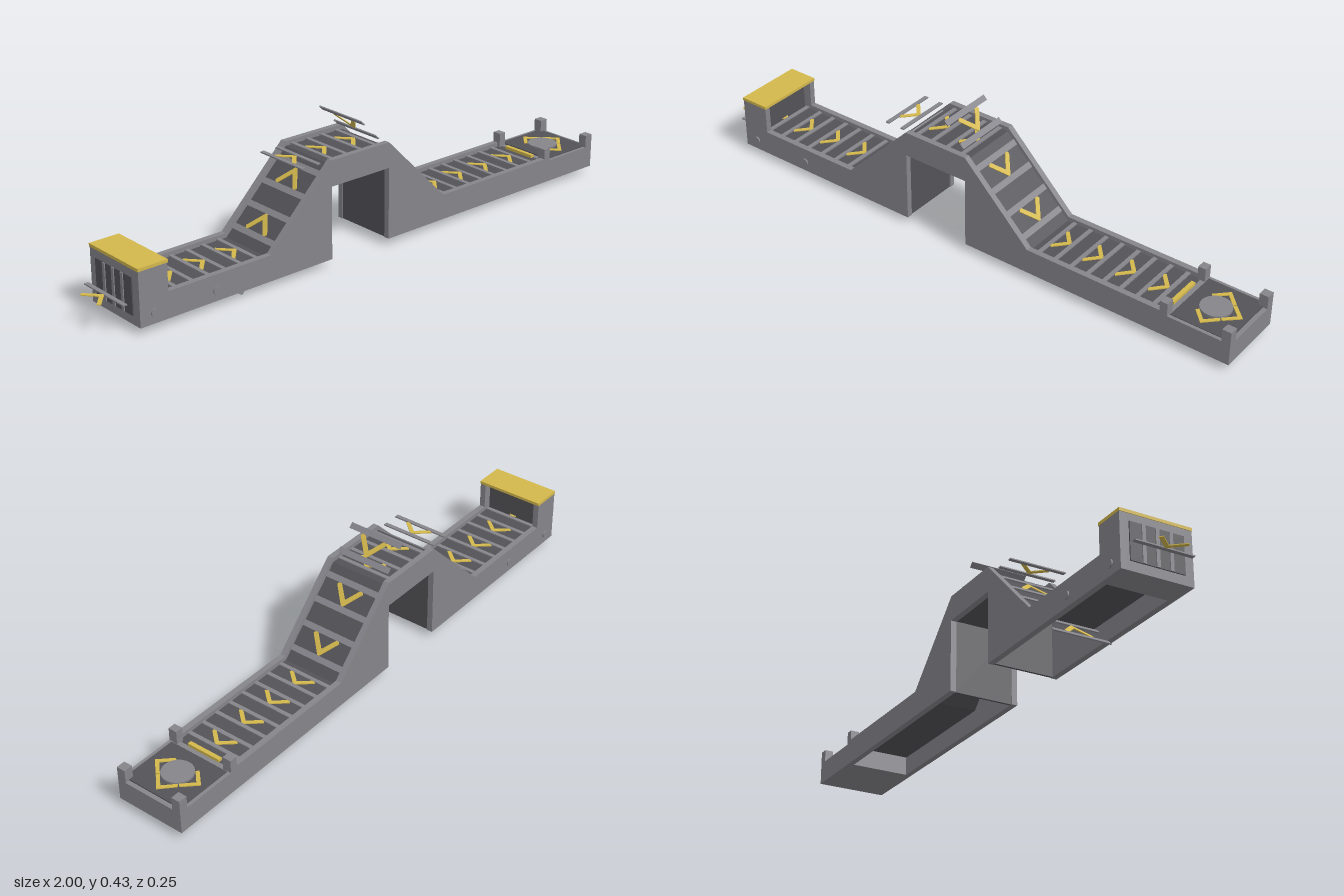
import * as THREE from 'three';

const mat = (name, color) => {
  const m = new THREE.MeshStandardMaterial({ color });
  m.name = name;
  return m;
};

export function createModel() {
  const model = new THREE.Group();
  model.name = 'conveyor';
  const metal = mat('grey metal', 0x85848a);
  const dark = mat('dark rubber', 0x535257);
  const yellow = mat('warning yellow', 0xd2b74c);

  const add = (name, geo, material, x = 0, y = 0, z = 0, parent = model) => {
    const m = new THREE.Mesh(geo, material);
    m.name = name;
    m.position.set(x, y, z);
    parent.add(m);
    return m;
  };
  // box given by its limits on each axis
  const box = (name, material, [x0, x1], [y0, y1], [z0, z1]) =>
    add(name, new THREE.BoxGeometry(x1 - x0, y1 - y0, z1 - z0), material,
      (x0 + x1) / 2, (y0 + y1) / 2, (z0 + z1) / 2);
  const extrude = (pts, depth) => new THREE.ExtrudeGeometry(
    new THREE.Shape(pts.map(p => new THREE.Vector2(...p))), { depth, bevelEnabled: false });

  // side walls, following the hump and the underpass
  const wall = extrude([
    [-0.91, 0.025], [-0.195, 0.025], [-0.195, 0.265], [0.04, 0.265], [0.04, 0.025],
    [1, 0.025], [1, 0.1], [0.785, 0.1], [0.76, 0.11], [0.28, 0.11], [0.04, 0.35],
    [-0.195, 0.35], [-0.435, 0.11], [-0.81, 0.11], [-0.81, 0.2], [-0.91, 0.2]], 0.02);
  add('sideWall', wall, metal, 0, 0, 0.1);
  add('sideWall', wall, metal, 0, 0, -0.12);

  // belt bed: a thin sheet between the walls
  const top = [[-0.84, 0.095], [-0.433, 0.095], [-0.193, 0.335], [0.038, 0.335],
    [0.278, 0.095], [0.77, 0.095]];
  const under = top.map(([x, y]) => [x, y - 0.006]).reverse();
  add('beltBed', extrude([...top, ...under], 0.2), dark, 0, 0, -0.1);

  // underpass lining
  const inner = [-0.1, 0.1];
  box('underpassCeiling', dark, [-0.2, 0.045], [0.268, 0.275], inner);
  box('underpassWall', dark, [-0.206, -0.198], [0.025, 0.27], inner);
  box('underpassWall', dark, [0.043, 0.051], [0.025, 0.27], inner);

  // intake tower with cap, dark mouth and slatted rear curtain
  box('towerBase', metal, [-0.91, -0.81], [0.025, 0.088], inner);
  box('towerBack', metal, [-0.91, -0.9], [0.088, 0.2], inner);
  box('towerMouth', dark, [-0.85, -0.84], [0.088, 0.2], inner);
  box('towerCap', yellow, [-0.912, -0.808], [0.2, 0.21], [-0.121, 0.121]);
  box('curtain', dark, [-0.914, -0.91], [0.055, 0.175], [-0.09, 0.09]);
  for (const z of [-0.045, 0, 0.045])
    box('curtainSlat', metal, [-0.917, -0.913], [0.055, 0.175], [z - 0.006, z + 0.006]);

  // bolts on both sides
  for (const x of [-0.86, -0.64])
    for (const s of [-1, 1])
      add('bolt', new THREE.CylinderGeometry(0.013, 0.013, 0.006, 12), metal, x, 0.06, s * 0.122)
        .rotation.x = Math.PI / 2;

  // treads: an arrow between two rungs
  const arrow = extrude([[0.026, 0], [-0.018, 0.05], [-0.027, 0.041], [0.008, 0],
    [-0.027, -0.041], [-0.018, -0.05]], 0.003).rotateX(-Math.PI / 2);
  const rung = new THREE.BoxGeometry(0.014, 0.004, 0.196);
  const tread = (x, y, tilt, both = true) => {
    const g = new THREE.Group();
    g.name = 'tread';
    add('arrow', arrow, yellow, 0, -0.0015, 0, g);
    for (const dx of both ? [-0.03, 0.03] : [0.03]) add('rung', rung, metal, dx, 0, 0, g);
    g.position.set(x, y, 0);
    g.rotation.z = tilt;
    if (tilt) g.scale.x = Math.SQRT2;
    model.add(g);
  };
  const step = 0.119;
  for (let i = 0; i < 5; i++) tread(-0.973 + i * step, 0.1, 0, i > 0);
  for (let i = 0; i < 3; i++) {
    const xUp = -0.495 + i * step, xDown = -0.02 + i * step;
    tread(xUp, xUp + 0.535, Math.PI / 4);
    tread(-0.258 + i * step, 0.34, 0);
    tread(xDown, 0.378 - xDown, -Math.PI / 4);
  }
  for (let i = 0; i < 4; i++) tread(0.338 + i * step, 0.1, 0);
  box('stopBar', yellow, [0.758, 0.772], [0.098, 0.108], [-0.06, 0.06]);

  // end platform with corner posts
  box('platform', metal, [0.77, 1], [0.025, 0.098], inner);
  box('platformFloor', dark, [0.79, 0.985], [0.097, 0.102], [-0.108, 0.108]);
  for (const s of [-1, 1]) {
    add('post', new THREE.BoxGeometry(0.026, 0.05, 0.03), metal, 0.773, 0.119, s * 0.105);
    add('post', new THREE.BoxGeometry(0.03, 0.045, 0.03), metal, 0.985, 0.12, s * 0.105);
  }
  add('turntable', new THREE.CylinderGeometry(0.05, 0.05, 0.006, 24), metal, 0.88, 0.105, 0);

  // arrows pointing out from the turntable
  for (const a of [0, Math.PI / 2, -Math.PI / 2]) {
    const m = add('platformArrow', arrow, yellow,
      0.88 + 0.064 * Math.cos(a), 0.102, -0.064 * Math.sin(a));
    m.rotation.y = a;
    m.scale.z = 0.85;
  }
  return model;
}
